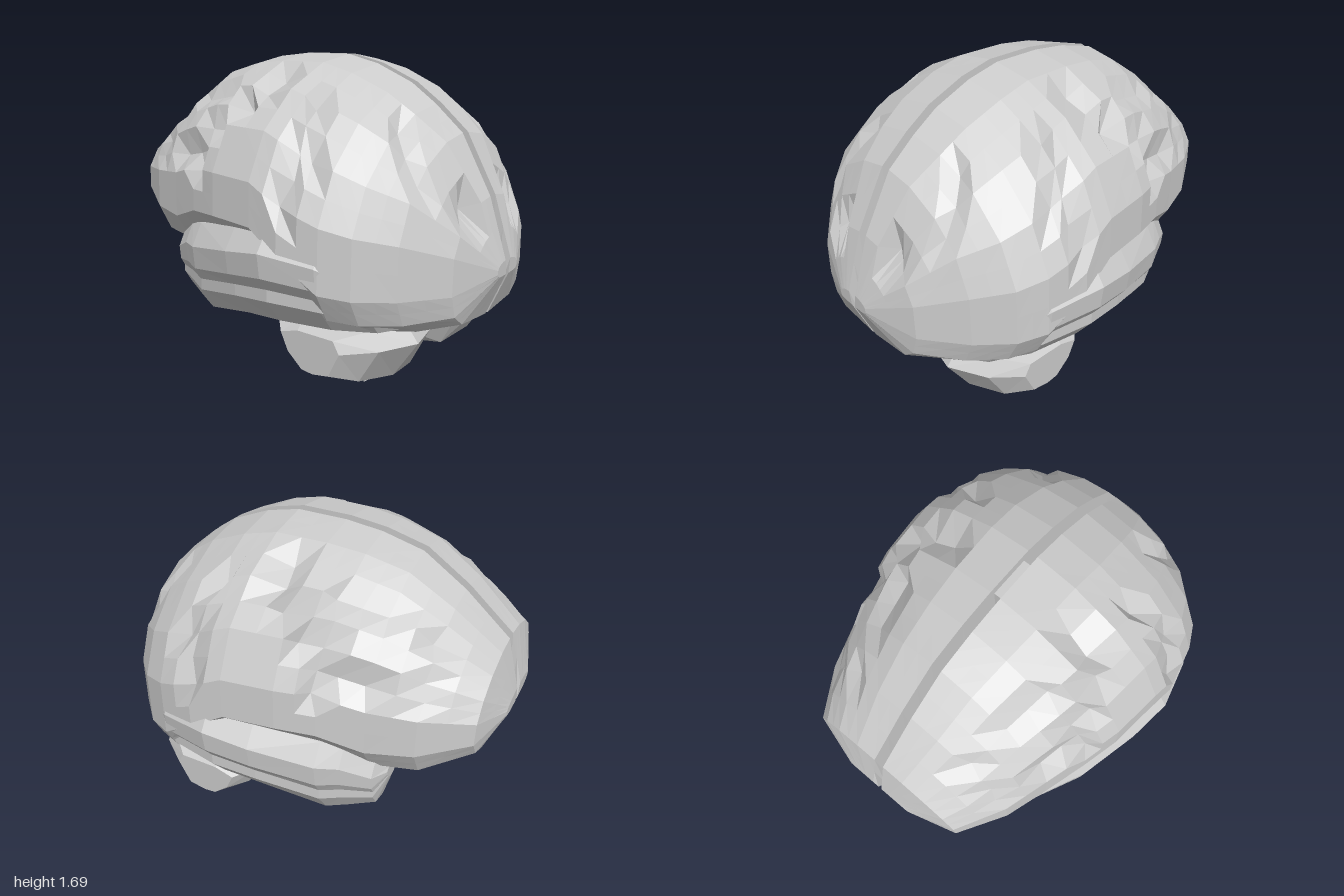
import * as THREE from 'three';

const material = new THREE.MeshStandardMaterial({ color: 0xcccccc, flatShading: true });
const V = (x, y, z) => new THREE.Vector3(x, y, z);
const rad = THREE.MathUtils.degToRad;

// Skin closed rings of equal length, cap both ends and face the result outward.
function loft(rings) {
  const tris = [], n = rings[0].length;
  for (let i = 0; i < rings.length - 1; i++) {
    for (let j = 0; j < n; j++) {
      const k = (j + 1) % n;
      const a = rings[i][j], b = rings[i][k], c = rings[i + 1][k], d = rings[i + 1][j];
      tris.push([a, b, c], [a, c, d]);
    }
  }
  [[rings[0], true], [rings[rings.length - 1], false]].forEach(([ring, start]) => {
    const mid = ring.reduce((s, p) => s.add(p), V(0, 0, 0)).divideScalar(n);
    ring.forEach((p, j) => {
      const q = ring[(j + 1) % n];
      tris.push(start ? [mid, q, p] : [mid, p, q]);
    });
  });
  const volume = tris.reduce((s, [a, b, c]) => s + a.dot(b.clone().cross(c)), 0);
  if (volume < 0) tris.forEach((t) => t.reverse());
  const geometry = new THREE.BufferGeometry().setFromPoints(tris.flat());
  geometry.computeVertexNormals();
  return geometry;
}

function addMesh(group, name, geometry) {
  const mesh = new THREE.Mesh(geometry, material);
  mesh.name = name;
  group.add(mesh);
  return mesh;
}

// Split every span of a list into equal steps.
function subdivide(list, steps, mix) {
  const out = [];
  for (let i = 0; i < list.length - 1; i++) {
    for (let s = 0; s < steps; s++) out.push(mix(list[i], list[i + 1], s / steps));
  }
  out.push(list[list.length - 1]);
  return out;
}
const mixPoint = (a, b, t) => a.clone().lerp(b, t);
const mixRing = (a, b, t) => a.map((p, i) => mixPoint(p, b[i], t));
const power = (v, e) => Math.sign(v) * Math.pow(Math.abs(v), e);

// Furrows as polylines in side elevation (x, y).
const furrows = [
  [[-0.02, 1.62], [-0.06, 1.45], [-0.3, 1.36], [-0.28, 1.18]],
  [[0.28, 1.47], [0.39, 1.26], [0.3, 1.12]],
  [[-0.72, 1.36], [-0.76, 1.2]],
  [[-0.52, 1.5], [-0.28, 1.56]],
  [[-0.5, 1.25], [-0.38, 1.25]],
  [[0.63, 1.42], [0.79, 1.2]],
  [[0.93, 1.0], [0.87, 1.06]],
];
const heart = V(0.05, 0.95, 0.15);

// Press the points closest to each furrow inward, giving sharp wedge creases.
function carve(points) {
  const outer = points.filter((p) => p.z > 0.08 && p.y > 0.7);
  const pressed = new Map();
  for (const line of furrows) {
    const path = subdivide(line.map(([x, y]) => V(x, y, 0)), 2, mixPoint);
    for (const s of path) {
      const gap = (p) => Math.hypot(p.x - s.x, p.y - s.y);
      pressed.set(outer.reduce((a, b) => (gap(b) < gap(a) ? b : a)), s.x);
    }
  }
  pressed.forEach((x, p) => {
    p.x = x;
    p.addScaledVector(heart.clone().sub(p).normalize(), 0.05);
  });
}

// Cerebral hemisphere: x, top, bottom, width, height of the widest point
function hemisphereRings() {
  const stations = [
    [-1, 1.04, 0.96, 0.18, 1], [-0.93, 1.29, 0.81, 0.42, 1.02], [-0.71, 1.48, 0.66, 0.55, 1],
    [-0.5, 1.62, 0.66, 0.62, 0.99], [-0.3, 1.67, 0.76, 0.69, 1.05], [-0.12, 1.69, 0.8, 0.74, 1.05],
    [0.13, 1.69, 0.8, 0.77, 1.04], [0.3, 1.65, 0.66, 0.79, 0.95], [0.49, 1.57, 0.51, 0.75, 0.88],
    [0.62, 1.48, 0.5, 0.69, 0.86], [0.76, 1.36, 0.5, 0.55, 0.84], [0.91, 1.09, 0.53, 0.35, 0.82],
    [1, 0.81, 0.74, 0.1, 0.77],
  ];
  const angles = [90, 72, 52, 32, 12, -10, -35, -60, -90];
  const rings = stations.map(([x, top, bottom, width, mid]) => {
    const section = angles.map((deg) => {
      const c = Math.max(0, Math.cos(rad(deg))), s = Math.sin(rad(deg));
      const lower = x > 0.4 ? 0.54 : 0.76;
      const inner = s >= 0 ? 0.025 : 0.012;
      const y = s < 0 ? mid + power(s, lower) * (mid - bottom) : mid + s * (top - mid);
      return V(x, y, inner + (width - inner) * power(c, s < 0 ? lower : 1.1));
    });
    return subdivide(section, 2, mixPoint);
  });
  const fine = subdivide(rings, 2, mixRing);
  carve(fine.flat());
  return fine;
}

// Temporal lobe: x, top, bottom, inner and outer z, with one shallow lengthwise furrow
function temporalRings() {
  const stations = [
    [-0.575, 0.75, 0.67, 0.36, 0.5], [-0.53, 0.82, 0.51, 0.27, 0.58], [-0.4, 0.92, 0.46, 0.21, 0.65],
    [-0.3, 0.94, 0.43, 0.18, 0.7], [0, 0.99, 0.49, 0.17, 0.78], [0.22, 1.03, 0.51, 0.17, 0.81],
    [0.48, 0.98, 0.52, 0.2, 0.75], [0.66, 0.82, 0.53, 0.25, 0.62], [0.82, 0.7, 0.56, 0.25, 0.38],
  ];
  const outline = [
    [0.55, 1], [0.88, 0.93], [1, 0.72], [0.98, 0.5], [0.91, 0.38], [0.91, 0.27],
    [0.77, 0.05], [0.5, 0], [0.2, 0.22], [0.05, 0.5], [0.05, 0.75], [0.2, 0.95],
  ];
  return stations.map(([x, top, bottom, inner, outer]) => outline.map(([u, v]) =>
    V(x, bottom + (top - bottom) * v, inner + (outer - inner) * u)));
}

// Cerebellar lobe: sections across z, each z, front x, back x, bottom, top
function cerebellumRings() {
  const stations = [
    [0, 0.2, 0.64, 0.31, 0.5], [0.15, 0.12, 0.7, 0.22, 0.54], [0.36, 0.06, 0.76, 0.25, 0.55],
    [0.54, 0.1, 0.67, 0.27, 0.54], [0.64, 0.2, 0.53, 0.31, 0.5],
  ];
  const outline = [[0, 0.85], [0.12, 0.4], [0.36, 0.04], [0.55, 0], [0.82, 0.08], [1, 0.7], [0.9, 1], [0.3, 1]];
  return stations.map(([z, front, back, bottom, top]) => outline.map(([u, v]) =>
    V(front + (back - front) * u, bottom + (top - bottom) * v, z)));
}

// Brain stem: centre x, y, half depth, half width, slope of the ring
function stemRings() {
  const stations = [
    [0.05, 0.88, 0.22, 0.18, 0], [0, 0.68, 0.16, 0.18, 0], [0.03, 0.48, 0.12, 0.15, 0.02],
    [0.18, 0.27, 0.09, 0.12, 0.03], [0.285, 0.025, 0.035, 0.1, 0.025],
  ];
  const outline = [[-1, 0], [0.2, 1], [1, 0.9], [1, -0.9], [0.2, -1]];
  return stations.map(([x, y, depth, width, slope]) => outline.map(([u, v]) =>
    V(x + u * depth, y + u * slope, v * width)));
}

// Bridge joining the two hemispheres
function bridgeRings() {
  const stations = [[-0.28, 0.85, 1.05], [-0.1, 0.8, 1.22], [0.2, 0.8, 1.27], [0.45, 0.75, 1.24], [0.62, 0.7, 1.02]];
  return stations.map(([x, bottom, top]) => [
    V(x, bottom, 0.05), V(x, top - 0.03, 0.05), V(x, top, 0), V(x, top - 0.03, -0.05), V(x, bottom, -0.05),
  ]);
}

export function createModel() {
  const model = new THREE.Group();
  model.name = 'brain';
  const paired = { Hemisphere: hemisphereRings(), TemporalLobe: temporalRings(), Cerebellum: cerebellumRings() };
  for (const [name, rings] of Object.entries(paired)) {
    for (const side of [1, -1]) {
      const mirrored = rings.map((ring) => ring.map((p) => V(p.x, p.y, p.z * side)));
      addMesh(model, (side > 0 ? 'front' : 'back') + name, loft(mirrored));
    }
  }
  addMesh(model, 'brainStem', loft(stemRings()));
  addMesh(model, 'hemisphereBridge', loft(bridgeRings()));
  // Small joint closing the gap at the crown
  addMesh(model, 'crownJoint', new THREE.BoxGeometry(0.2, 0.14, 0.06)).position.set(0, 1.57, 0);
  return model;
}
